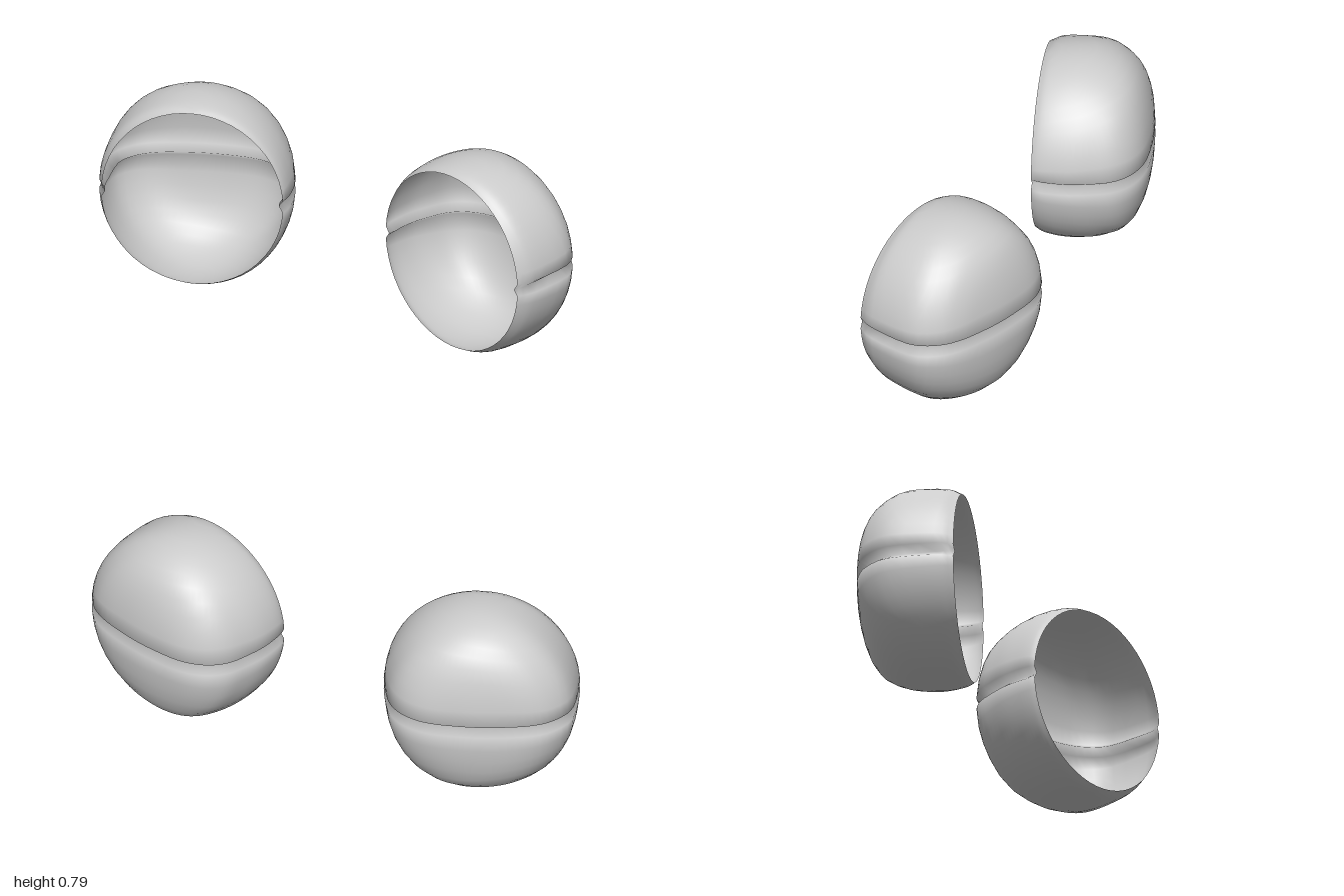
import * as THREE from 'three';
import { mergeVertices } from 'three/addons/utils/BufferGeometryUtils.js';

const MID_Y = 0.396;

// Rings from the back to the open rim: inner end (x, z), outer end (x, z), half height
const RINGS = [
  [0.46, -0.28, 0.61, -0.263, 0.1],
  [0.39, -0.26, 0.71, -0.233, 0.2],
  [0.33, -0.215, 0.81, -0.19, 0.293],
  [0.285, -0.145, 0.9, -0.14, 0.345],
  [0.25, -0.075, 0.965, -0.075, 0.376],
  [0.228, 0, 1, 0.03, 0.395],
  [0.222, 0.045, 0.955, 0.205, 0.387],
  [0.225, 0.07, 0.91, 0.272, 0.365],
];

// One smooth curve in plan, inner rim -> back -> outer rim, with half height stored in y
const plan = new THREE.CatmullRomCurve3([
  ...RINGS.map(([x, z, , , h]) => new THREE.Vector3(x, -h, z)).reverse(),
  new THREE.Vector3(0.53, 0, -0.28),
  ...RINGS.map(([, , x, z, h]) => new THREE.Vector3(x, h, z)),
], false, 'catmullrom', 0.5);

// Latitudes, closely spaced beside the groove on the equator
const upper = [0.065, 0.18];
for (let i = 1; i <= 12; i++) upper.push(0.18 + (Math.PI / 2 - 0.18) * i / 12);
const LATITUDES = [...upper.map((a) => -a).reverse(), 0, ...upper];
const COLS = 48;

function cupPoint(lat, lon) {
  const s = Math.cos(lat) * Math.cos(lon);
  const y = Math.sin(lat);
  const depth = Math.cos(lat) * Math.sin(lon);
  const t = Math.acos(THREE.MathUtils.clamp(depth, 0, 1)) / (Math.PI / 2);
  const inner = plan.getPoint(0.5 - t / 2);
  const outer = plan.getPoint(0.5 + t / 2);
  const psi = Math.atan2(y, s);
  const p = inner.clone().lerp(outer, (1 + Math.cos(psi)) / 2);
  p.y = MID_Y + outer.y * Math.sin(psi);

  // V groove round the equator, shallower at the rim
  if (Math.abs(lat) < 0.1) p.y = MID_Y + Math.sign(lat) * 0.025;
  if (lat === 0) {
    const k = 0.045 + 0.045 * Math.min(1, Math.sin(lon) * 4);
    p.x += (0.58 - p.x) * k;
    p.z += (0.12 - p.z) * k * (p.z > 0.12 ? 0 : 1);
  }
  return p;
}

function cupGeometry(side) {
  const positions = [];
  const index = [];
  const row = COLS + 1;
  const last = LATITUDES.length - 1;
  LATITUDES.forEach((lat, i) => {
    for (let j = 0; j <= COLS; j++) {
      const p = cupPoint(lat, Math.PI * j / COLS);
      positions.push(side * p.x, p.y, p.z);
      if (i === last || j === COLS) continue;
      const a = i * row + j, b = a + 1, c = b + row, d = a + row;
      // Skip collapsed triangles at the two poles
      const tris = [];
      if (i > 0) tris.push([a, b, c]);
      if (i < last - 1) tris.push([a, c, d]);
      if (i === 0) tris[0] = [a, c, d];
      for (const [u, v, w] of tris) index.push(...(side > 0 ? [u, v, w] : [u, w, v]));
    }
  });
  let geometry = new THREE.BufferGeometry();
  geometry.setAttribute('position', new THREE.Float32BufferAttribute(positions, 3));
  geometry.setIndex(index);
  geometry = mergeVertices(geometry, 1e-5);
  geometry.computeVertexNormals();
  return geometry;
}

export function createModel() {
  const group = new THREE.Group();
  const material = new THREE.MeshStandardMaterial({ color: 0xcccccc, side: THREE.DoubleSide });
  for (const [name, side] of [['leftEyelids', 1], ['rightEyelids', -1]]) {
    const cup = new THREE.Mesh(cupGeometry(side), material);
    cup.name = name;
    group.add(cup);
  }
  return group;
}
